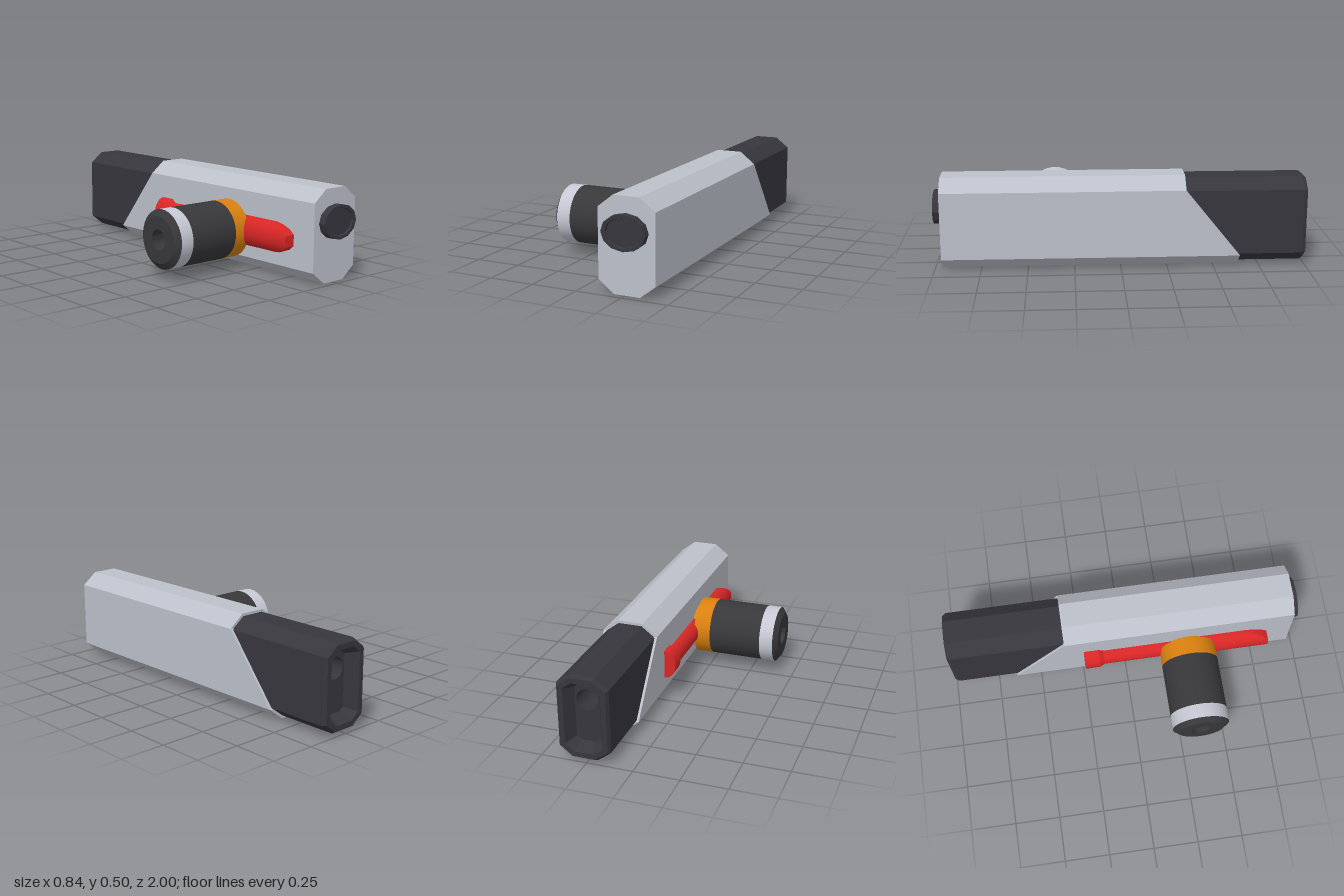
import * as THREE from 'three';
import { toCreasedNormals } from 'three/addons/utils/BufferGeometryUtils.js';

const mat = (name, color) => {
  const m = new THREE.MeshStandardMaterial({ color });
  m.name = name;
  return m;
};

// Skin through cross-sections ordered along the surface, with optional caps
function loft(rings, capStart, capEnd, crease = 0.5) {
  const pos = [];
  const quad = (a, b, c, d) => pos.push(...a, ...b, ...c, ...a, ...c, ...d);
  const n = rings[0].length;
  for (let i = 0; i < rings.length - 1; i++) {
    for (let k = 0; k < n; k++) {
      const j = (k + 1) % n;
      quad(rings[i][k], rings[i][j], rings[i + 1][j], rings[i + 1][k]);
    }
  }
  const first = rings[0], last = rings[rings.length - 1];
  for (let k = 0; k < n / 2 - 1; k++) {
    if (capStart) quad(first[n - 1 - k], first[n - 2 - k], first[k + 1], first[k]);
    if (capEnd) quad(last[k], last[k + 1], last[n - 2 - k], last[n - 1 - k]);
  }
  const g = new THREE.BufferGeometry();
  g.setAttribute('position', new THREE.Float32BufferAttribute(pos, 3));
  return toCreasedNormals(g, crease);
}

const CX = 0.262, CY = 0.2485;

// Chamfered octagon, starting at the right end of its bottom edge
function octagon(hw, hh, fw, sh, z) {
  return [[fw, -hh], [hw, -sh], [hw, sh], [fw, hh], [-fw, hh], [-hw, sh], [-hw, -sh], [-fw, -hh]]
    .map(([x, y]) => [CX + x, CY + y, z]);
}

// Ellipse whose height may be clipped to a limit
function ellipse(cx, cy, rx, ry, z, n, limit = 1) {
  return Array.from({ length: n }, (_, k) => {
    const a = (k / n) * Math.PI * 2 - Math.PI / 2;
    const y = THREE.MathUtils.clamp(ry * Math.sin(a), -limit, limit);
    return [cx + rx * Math.cos(a), cy + y, z];
  });
}

export function createModel() {
  const group = new THREE.Group();
  const silver = mat('silver', 0xbcc0ca);
  const paleSilver = mat('paleSilver', 0xc6c9d4);
  const dark = mat('darkPlastic', 0x37363d);
  const grip = mat('gripRubber', 0x38383b);
  const orange = mat('orange', 0xd9800f);
  const red = mat('red', 0xd92626);
  const add = (name, geometry, material, parent = group) => {
    const mesh = new THREE.Mesh(geometry, material);
    mesh.name = name;
    parent.add(mesh);
    return mesh;
  };

  // Octagonal housing with a slanted rear end
  const rear = octagon(0.155, 0.2485, 0.071, 0.1825, 0)
    .map(([x, y]) => [x, y, y > CY ? -0.345 : -0.64]);
  add('housing', loft([rear, octagon(0.155, 0.2485, 0.071, 0.1825, 0.96)], true, true, 0.1), silver);

  // Rear sleeve: recess, rim, bevel, outer walls
  const sleeve = (d, z) => octagon(0.1415 - d, 0.234 - d, 0.066 - 0.34 * d, 0.176 - 0.48 * d, z);
  add('rearSleeve', loft([
    sleeve(0.075, -0.93), sleeve(0.04, -1), sleeve(0.012, -1), sleeve(0, -0.98), sleeve(0, -0.3),
  ], false, true, 0.1), dark);

  // Recess floor with a round bore
  const floor = new THREE.Shape(sleeve(0.075, 0).map(([x, y]) => new THREE.Vector2(x, y)));
  floor.holes.push(new THREE.Path().absarc(CX, 0.325, 0.058, 0, Math.PI * 2, true));
  const plug = new THREE.ExtrudeGeometry(floor, { depth: 0.2, bevelEnabled: false, curveSegments: 16 });
  add('recessFloor', plug, dark).position.z = -0.93;
  const bore = add('boreEnd', new THREE.CircleGeometry(0.06, 24), dark);
  bore.rotation.y = Math.PI;
  bore.position.set(CX, 0.325, -0.74);

  // Oval button on the front face
  add('frontButton', loft([
    ellipse(CX, 0.322, 0.12, 0.092, 0.94, 12), ellipse(CX, 0.322, 0.12, 0.092, 1, 12),
    ellipse(CX, 0.322, 0.098, 0.076, 1, 12), ellipse(CX, 0.322, 0.095, 0.073, 0.988, 12),
  ], false, true, 0.1), dark);

  // Red side lever: thick ends, thinner middle, tapered front tip
  const lever = [
    [-0.24, 0.065, 0.082], [-0.155, 0.065, 0.082], [-0.13, 0.052, 0.062],
    [0.36, 0.052, 0.062], [0.4, 0.065, 0.082], [0.7, 0.065, 0.082],
    [0.74, 0.065, 0.082, 0.074], [0.79, 0.065, 0.082, 0.055], [0.82, 0.065, 0.082, 0.03],
  ].map(([z, rx, ry, limit]) => ellipse(0.107, 0.217, rx, ry, z, 32, limit));
  add('sideLever', loft(lever, true, true, 0.4), red);

  // Side handle turned about a sideways axis
  const handle = new THREE.Group();
  handle.name = 'sideHandle';
  handle.rotation.z = -Math.PI / 2;
  handle.position.set(0, 0.215, 0.355);
  group.add(handle);
  const turn = (name, profile, material) => add(name, toCreasedNormals(
    new THREE.LatheGeometry(profile.map(([r, x]) => new THREE.Vector2(r, x)), 40), 0.5), material, handle);
  turn('handleEnd', [[0, -0.33], [0.055, -0.33], [0.055, -0.418], [0.126, -0.418], [0.16, -0.393]], grip);
  turn('handleRing', [[0.16, -0.393], [0.16, -0.315]], paleSilver);
  turn('handleGrip', [[0.16, -0.315], [0.16, -0.015]], grip);
  turn('handleCollar', [[0.16, -0.015], [0.16, 0.08], [0.108, 0.08], [0.108, 0.12]], orange);

  return group;
}
